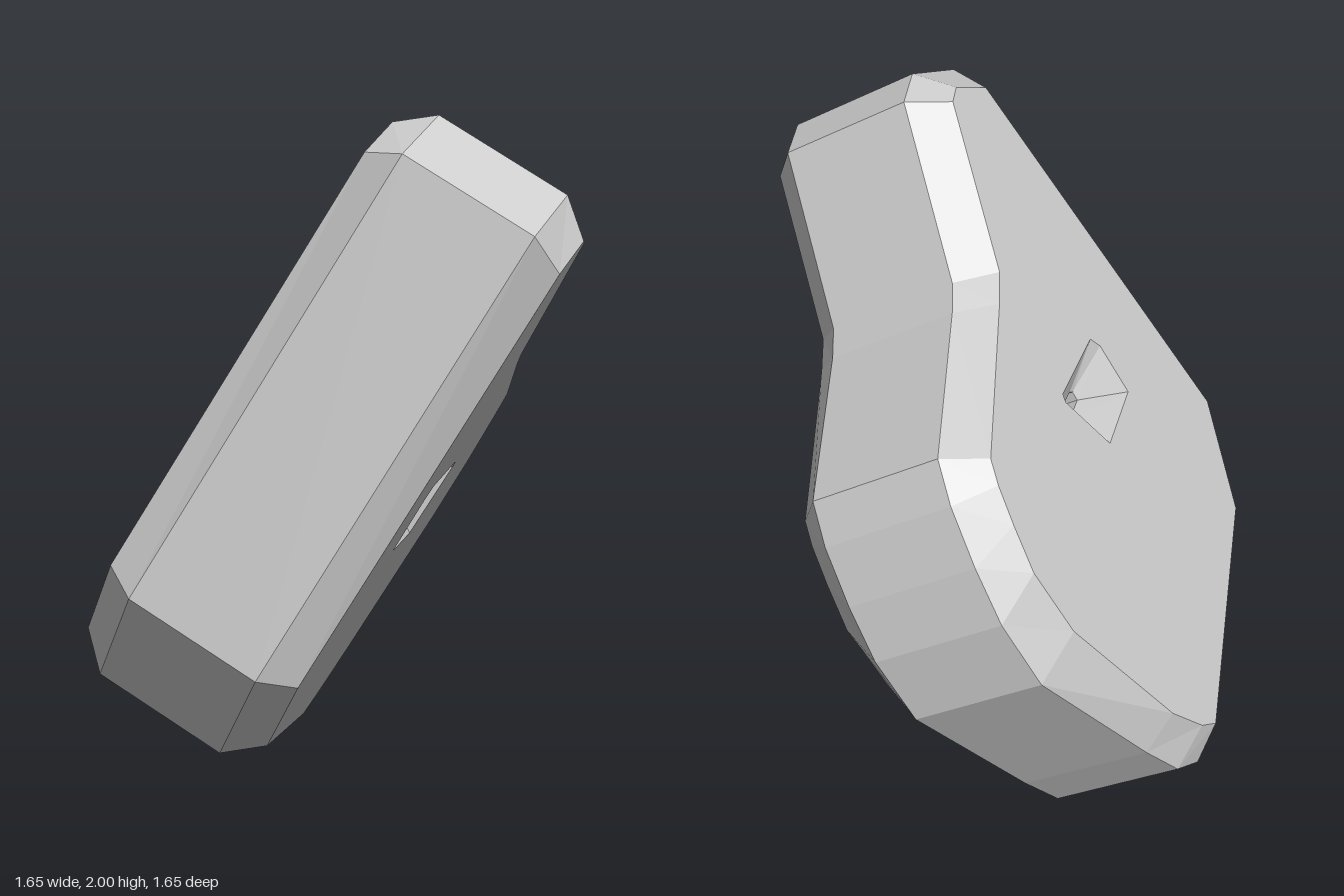
import * as THREE from 'three';

// Outline pairs, counter-clockwise: [rim u, rim v, face u, face v]
const OUTLINE = [
  [-0.48, 0.065, -0.445, 0.15], [0.40, -0.16, 0.367, -0.065],
  [0.515, -0.085, 0.44, -0.01], [0.61, 0.065, 0.544, 0.127],
  [0.873, 0.545, 0.757, 0.607], [0.88, 0.76, 0.771, 0.822],
  [0.84, 0.925, 0.73, 0.955], [0.78, 1.09, 0.69, 1.06],
  [0.71, 1.20, 0.652, 1.123], [0.255, 1.39, 0.185, 1.338],
  [0.17, 1.44, 0.092, 1.39], [-0.122, 1.885, -0.181, 1.813],
  [-0.25, 1.915, -0.243, 1.83], [-0.483, 1.815, -0.402, 1.749],
  [-0.725, 0.42, -0.647, 0.44],
];
// Hole pairs: [waist u, waist v, mouth u, mouth v]
const HOLE = [
  [-0.10, 0.85, -0.21, 0.77], [0.005, 0.845, 0.05, 0.755],
  [0.035, 0.88, 0.15, 0.972], [0.03, 0.89, 0.14, 0.995],
  [-0.085, 0.89, -0.172, 0.99], [-0.10, 0.88, -0.203, 0.945],
];
const FACE_H = 0.31;   // half thickness at the flat faces
const RIM_H = 0.207;   // half thickness where the bevel meets the wall

const inner = (list) => list.map((p) => new THREE.Vector2(p[0], p[1]));
const outer = (list) => list.map((p) => new THREE.Vector2(p[2], p[3]));

function addTriangle(out, a, b, c) {
  for (const p of [a, b, c]) out.push(p[0], p[1], p[2]);
}

// Skin between neighbouring loops, ordered from the front face to the back face
function addWalls(out, rings, inward) {
  for (let r = 0; r < rings.length - 1; r++) {
    const [top, hTop] = rings[r];
    const [low, hLow] = rings[r + 1];
    for (let i = 0; i < top.length; i++) {
      const j = (i + 1) % top.length;
      const a = [top[i].x, top[i].y, hTop], b = [top[j].x, top[j].y, hTop];
      const c = [low[i].x, low[i].y, hLow], d = [low[j].x, low[j].y, hLow];
      if (inward) {
        addTriangle(out, a, b, c);
        addTriangle(out, b, d, c);
      } else {
        addTriangle(out, a, c, b);
        addTriangle(out, b, c, d);
      }
    }
  }
}

// Flat face with the hole cut out; side is +1 for front, -1 for back
function addCap(out, contour, hole, h, side) {
  const pts = [...contour, ...hole];
  for (const [i, j, k] of THREE.ShapeUtils.triangulateShape(contour, [hole])) {
    const turn = THREE.ShapeUtils.area([pts[i], pts[j], pts[k]]);
    const order = turn * side > 0 ? [i, j, k] : [i, k, j];
    addTriangle(out, ...order.map((n) => [pts[n].x, pts[n].y, h * side]));
  }
}

function meshFrom(positions, name) {
  const geometry = new THREE.BufferGeometry();
  geometry.setAttribute('position', new THREE.Float32BufferAttribute(positions, 3));
  geometry.computeVertexNormals();
  const mesh = new THREE.Mesh(geometry,
    new THREE.MeshStandardMaterial({ color: 0xcccccc, flatShading: true }));
  mesh.name = name;
  return mesh;
}

export function createModel() {
  const rim = inner(OUTLINE), face = outer(OUTLINE);
  const waist = inner(HOLE), mouth = outer(HOLE);

  // Bevelled slab
  const slab = [];
  addWalls(slab, [[face, FACE_H], [rim, RIM_H], [rim, -RIM_H], [face, -FACE_H]], false);
  addCap(slab, face, mouth, FACE_H, 1);
  addCap(slab, face, mouth, FACE_H, -1);

  // Countersunk slot running through the slab
  const slot = [];
  addWalls(slot, [[mouth, FACE_H], [waist, RIM_H], [waist, -RIM_H], [mouth, -FACE_H]], true);

  // Tilt the slab so its front face looks forward and down
  const normal = new THREE.Vector3(0.463, -0.504, 0.729).normalize();
  const across = new THREE.Vector3(0, 1, 0).cross(normal).normalize();
  const along = normal.clone().cross(across);
  const tilted = new THREE.Group();
  tilted.name = 'tiltedSlab';
  tilted.quaternion.setFromRotationMatrix(new THREE.Matrix4().makeBasis(across, along, normal));
  tilted.position.copy(normal).multiplyScalar(-0.492);
  tilted.add(meshFrom(slab, 'slabBody'), meshFrom(slot, 'throughSlot'));

  const model = new THREE.Group();
  model.name = 'piercedSlab';
  model.add(tilted);
  return model;
}
